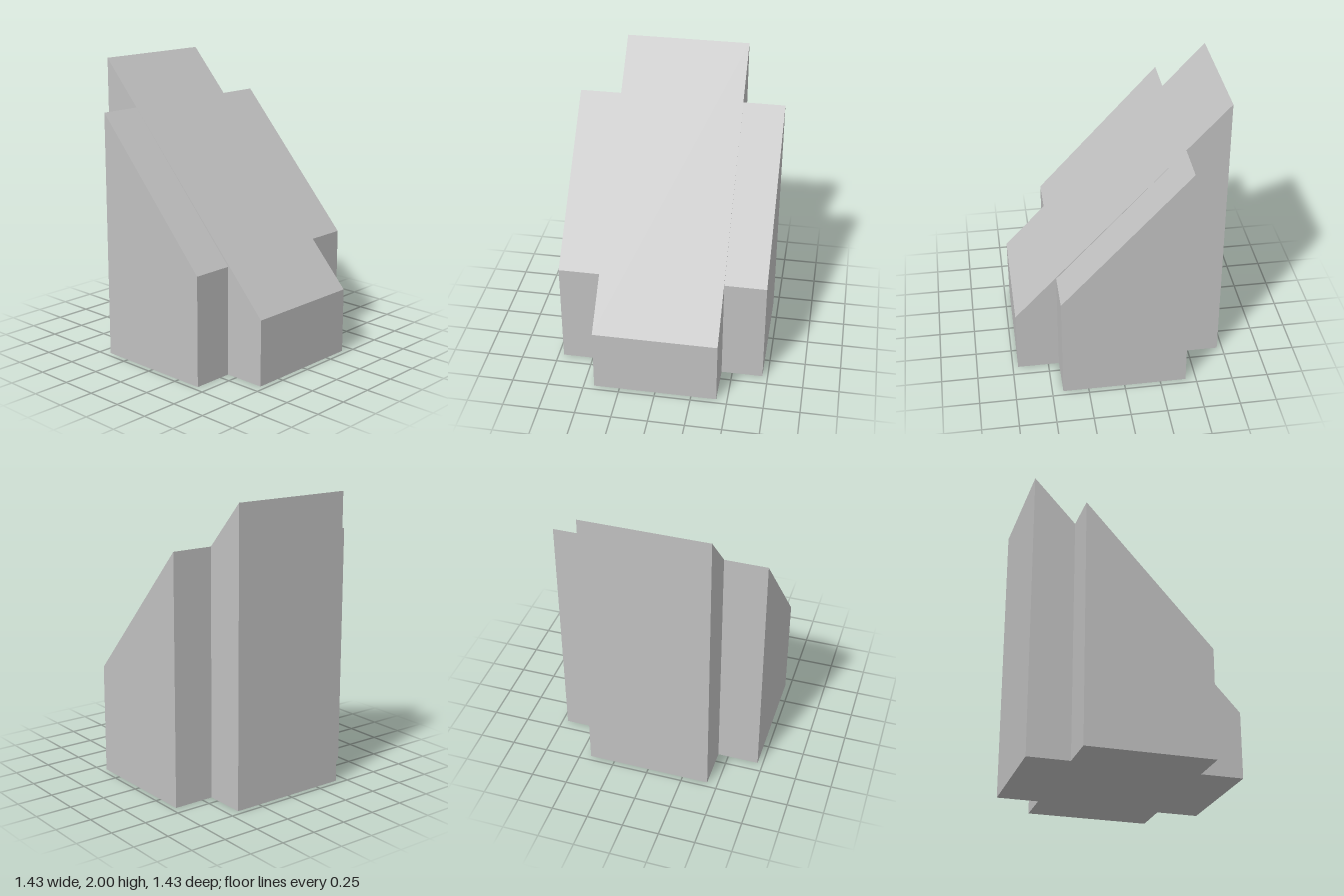
import * as THREE from 'three';

const stone = new THREE.MeshStandardMaterial({ color: 0xc0c0c0 });
stone.name = 'light grey';

// Upright block with a sloping top, from x0 to x1 and from zFront to zBack
function slopedBlock(name, x0, x1, zFront, zBack, yFront, yBack) {
  const side = new THREE.Shape([
    new THREE.Vector2(-zFront, 0),
    new THREE.Vector2(-zBack, 0),
    new THREE.Vector2(-zBack, yBack),
    new THREE.Vector2(-zFront, yFront),
  ]);
  const geometry = new THREE.ExtrudeGeometry(side, { depth: x1 - x0, bevelEnabled: false });
  geometry.rotateY(Math.PI / 2);
  geometry.translate(x0, 0, 0);
  const mesh = new THREE.Mesh(geometry, stone);
  mesh.name = name;
  return mesh;
}

export function createModel() {
  const model = new THREE.Group();
  model.name = 'slopedCrossBlock';

  // Long centre block, running from the low front to the high back
  model.add(slopedBlock('centreBlock', -0.428, 0.425, 0.713, -0.713, 0.452, 2));

  // Shorter side blocks, a touch lower than the centre slope at the front
  model.add(slopedBlock('leftBlock', 0.425, 0.713, 0.425, -0.428, 0.755, 1.69));
  model.add(slopedBlock('rightBlock', -0.713, -0.428, 0.425, -0.428, 0.748, 1.69));

  return model;
}
